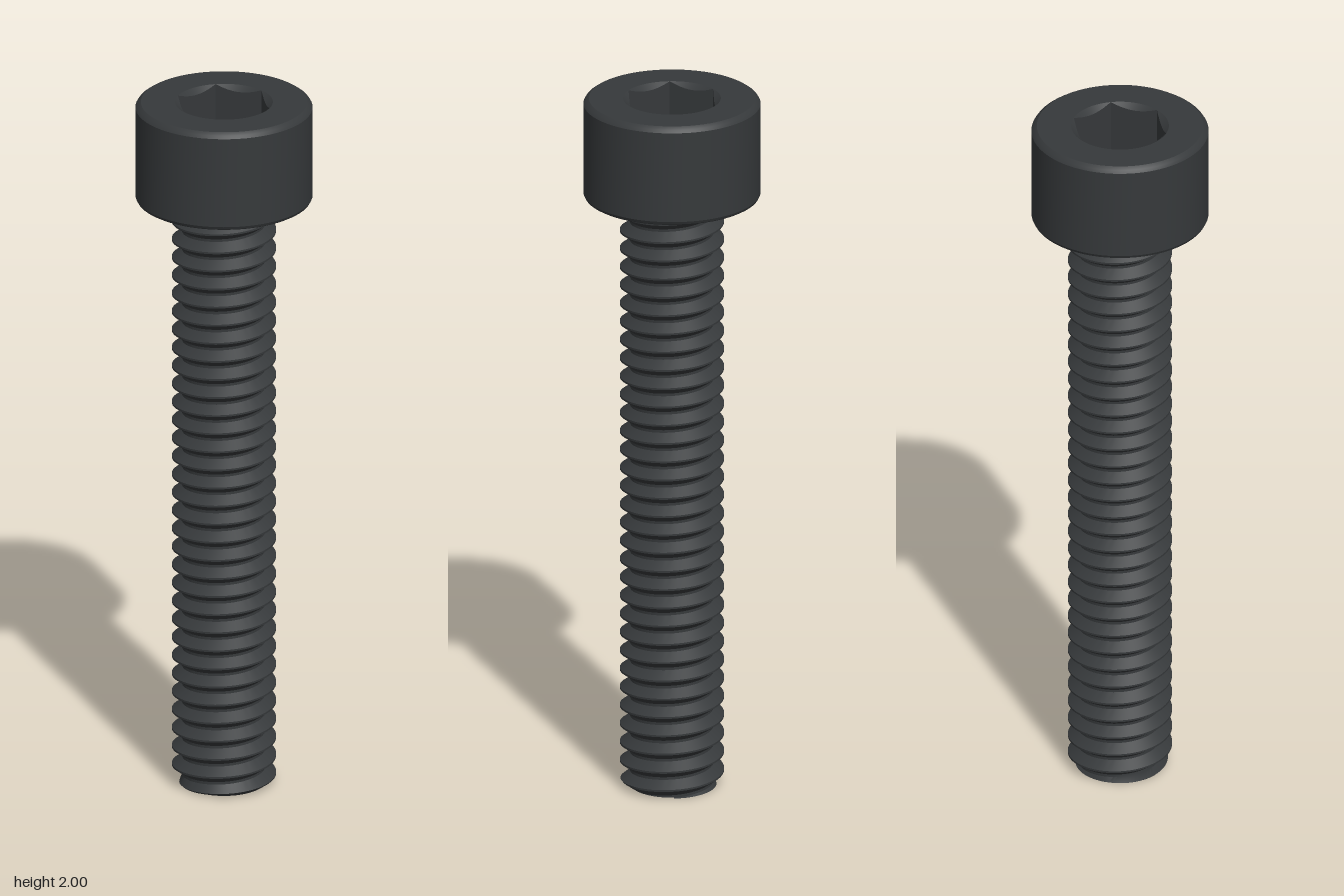
import * as THREE from 'three';
import { toCreasedNormals } from 'three/addons/utils/BufferGeometryUtils.js';

const SEG = 72;
const HEAD_BASE = 1.714, TOP = 2;
const PITCH = 0.0533, ROOT = 0.115, CREST = 0.143;
const material = new THREE.MeshStandardMaterial({ color: 0x36393b });

// Sweeps rows around the y axis; at(row, turn) returns [radius, y], turn runs 0..1
function sweep(name, rows, at, crease = 0.45) {
  const positions = [], index = [];
  for (let j = 0; j < rows; j++) {
    for (let i = 0; i <= SEG; i++) {
      const a = (i / SEG) * Math.PI * 2;
      const [r, y] = at(j, i / SEG);
      positions.push(r * Math.cos(a), y, -r * Math.sin(a));
    }
  }
  const point = (k) => new THREE.Vector3().fromArray(positions, k * 3);
  const addFace = (a, b, c) => {
    const area = new THREE.Triangle(point(a), point(b), point(c)).getArea();
    if (area > 1e-9) index.push(a, b, c);
  };
  for (let j = 0; j < rows - 1; j++) {
    for (let i = 0; i < SEG; i++) {
      const a = j * (SEG + 1) + i, d = a + SEG + 1;
      addFace(a, a + 1, d + 1);
      addFace(a, d + 1, d);
    }
  }
  const geometry = new THREE.BufferGeometry();
  geometry.setAttribute('position', new THREE.Float32BufferAttribute(positions, 3));
  geometry.setIndex(index);
  const mesh = new THREE.Mesh(toCreasedNormals(geometry, crease), material);
  mesh.name = name;
  return mesh;
}

// Cylindrical head with eased rims and a fillet running into the shank
function makeHead() {
  const profile = [
    [0.11, 1.688], [0.133, 1.694], [0.137, 1.703], [0.144, 1.711], [0.155, HEAD_BASE],
    [0.232, HEAD_BASE], [0.239, 1.718], [0.243, 1.726],
    [0.243, 1.985], [0.238, 1.993], [0.228, TOP], [0.134, TOP],
  ];
  return sweep('head', profile.length, (j) => profile[j]);
}

// Hexagonal socket with a conical lead-in at its mouth
function makeSocket() {
  const corner = 0.134, depth = 0.15;
  const flat = corner * Math.cos(Math.PI / 6);
  return sweep('hexSocket', 4, (j, turn) => {
    const a = (turn * Math.PI * 2) % (Math.PI / 3) - Math.PI / 6;
    const hex = Math.min(corner, flat / Math.cos(a));
    return [
      [corner, TOP],
      [hex, TOP - (corner - hex) * 0.8],
      [hex, TOP - depth],
      [0, TOP - depth],
    ][j];
  });
}

// Right-hand helical thread, bevelled at the tip
function makeThread() {
  const tooth = [[0, ROOT], [0.14, ROOT], [0.52, CREST], [0.62, CREST]];
  const end = 1.7;
  const turns = Math.ceil(end / PITCH) + 2;
  return sweep('thread', turns * tooth.length, (j, turn) => {
    const [f, r] = tooth[j % tooth.length];
    const coil = Math.floor(j / tooth.length) - 1;
    const y = THREE.MathUtils.clamp((coil + f + turn) * PITCH, 0, end);
    return [Math.min(r, 0.122 + y), y];
  });
}

export function createModel() {
  const group = new THREE.Group();
  group.name = 'socketHeadScrew';

  // Flat end of the shank
  const tip = new THREE.Mesh(new THREE.CircleGeometry(0.121, SEG).rotateX(Math.PI / 2), material);
  tip.name = 'shankTip';

  group.add(makeHead(), makeSocket(), makeThread(), tip);
  return group;
}
